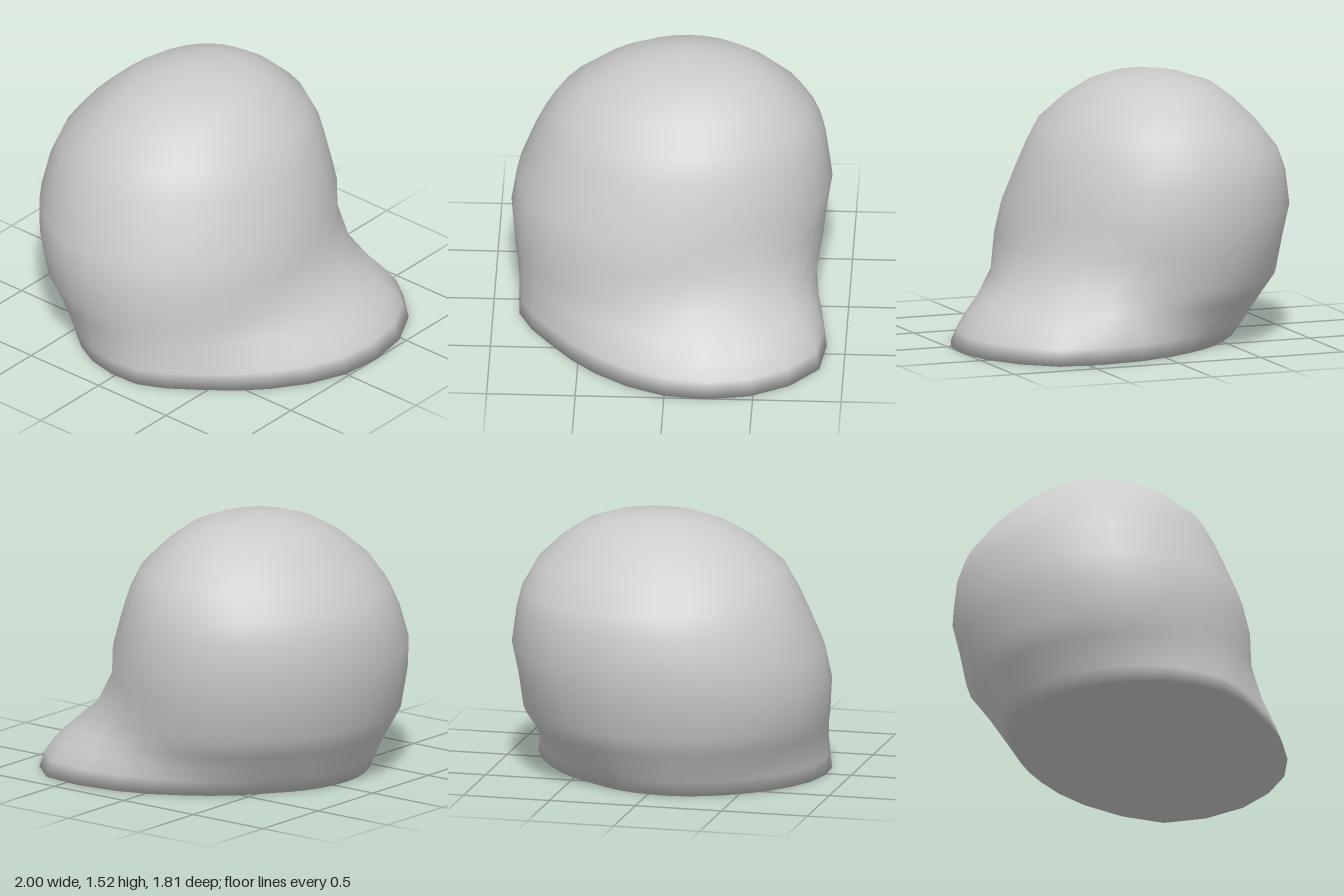
import * as THREE from 'three';

const SIDES = 32;

// Outline of the base: radii every 22.5 degrees from +x towards +z, wide where the brim is
const BASE_RADII = [1.18, 1.04, 0.94, 0.92, 0.82, 0.7, 0.61, 0.56, 0.52, 0.5, 0.5, 0.57, 0.7, 0.93, 1.22, 1.26];

// Dome cross-sections: height, centre x, centre z, radius x, radius z
const LEVELS = [
  [0, -0.16, 0, 0.79, 0.88],
  [0.09, -0.16, 0, 0.79, 0.88],
  [0.17, -0.16, 0.01, 0.79, 0.87],
  [0.26, -0.16, 0.02, 0.79, 0.87],
  [0.37, -0.16, 0.02, 0.79, 0.88],
  [0.57, -0.17, 0.02, 0.8, 0.89],
  [0.75, -0.2, -0.01, 0.8, 0.89],
  [0.95, -0.22, -0.035, 0.75, 0.835],
  [1.08, -0.22, -0.05, 0.7, 0.79],
  [1.22, -0.2, -0.055, 0.61, 0.71],
  [1.35, -0.2, -0.065, 0.475, 0.565],
  [1.44, -0.2, -0.08, 0.355, 0.42],
  [1.49, -0.19, -0.08, 0.22, 0.27],
];

// How far a section at height y follows the base outline instead of the dome
function baseWeight(y, angle) {
  // The brim flares out in a thick lip around its tip; elsewhere the wall tapers straight
  const tip = Math.max(0, Math.cos(angle + 0.5)) ** 2;
  const flare = 1 - THREE.MathUtils.smoothstep(y, 0, 0.44 + 0.1 * tip);
  const taper = Math.max(0, 1 - y / 0.4);
  return THREE.MathUtils.lerp(taper, flare, tip);
}

function createCapGeometry() {
  const outline = new THREE.CatmullRomCurve3(BASE_RADII.map((r, i) => {
    const a = (i / BASE_RADII.length) * Math.PI * 2;
    return new THREE.Vector3(-0.2 + r * Math.cos(a), 0, r * Math.sin(a));
  }), true, 'catmullrom', 0.5);

  const positions = [];
  const index = [];
  for (const [y, cx, cz, rx, rz] of LEVELS) {
    for (let i = 0; i < SIDES; i++) {
      const a = (i / SIDES) * Math.PI * 2;
      const base = outline.getPoint(i / SIDES);
      const w = baseWeight(y, a);
      positions.push(
        THREE.MathUtils.lerp(cx + rx * Math.cos(a), base.x, w),
        y,
        THREE.MathUtils.lerp(cz + rz * Math.sin(a), base.z, w),
      );
    }
  }
  const bottom = positions.length / 3;
  positions.push(0.1, 0, 0, -0.23, 1.525, -0.06);
  const top = bottom + 1;
  const last = (LEVELS.length - 1) * SIDES;

  for (let i = 0; i < SIDES; i++) {
    const n = (i + 1) % SIDES;
    for (let j = 0; j < last; j += SIDES) {
      index.push(j + i, j + SIDES + i, j + n, j + n, j + SIDES + i, j + SIDES + n);
    }
    index.push(bottom, i, n, top, last + n, last + i);
  }

  const geometry = new THREE.BufferGeometry();
  geometry.setAttribute('position', new THREE.Float32BufferAttribute(positions, 3));
  geometry.setIndex(index);
  geometry.computeVertexNormals();
  return geometry;
}

export function createModel() {
  const group = new THREE.Group();
  group.name = 'cap';
  // Domed crown flowing into the brim, closed underneath
  const crown = new THREE.Mesh(createCapGeometry(), new THREE.MeshStandardMaterial({ color: 0xcccccc }));
  crown.name = 'crownAndBrim';
  group.add(crown);
  return group;
}
